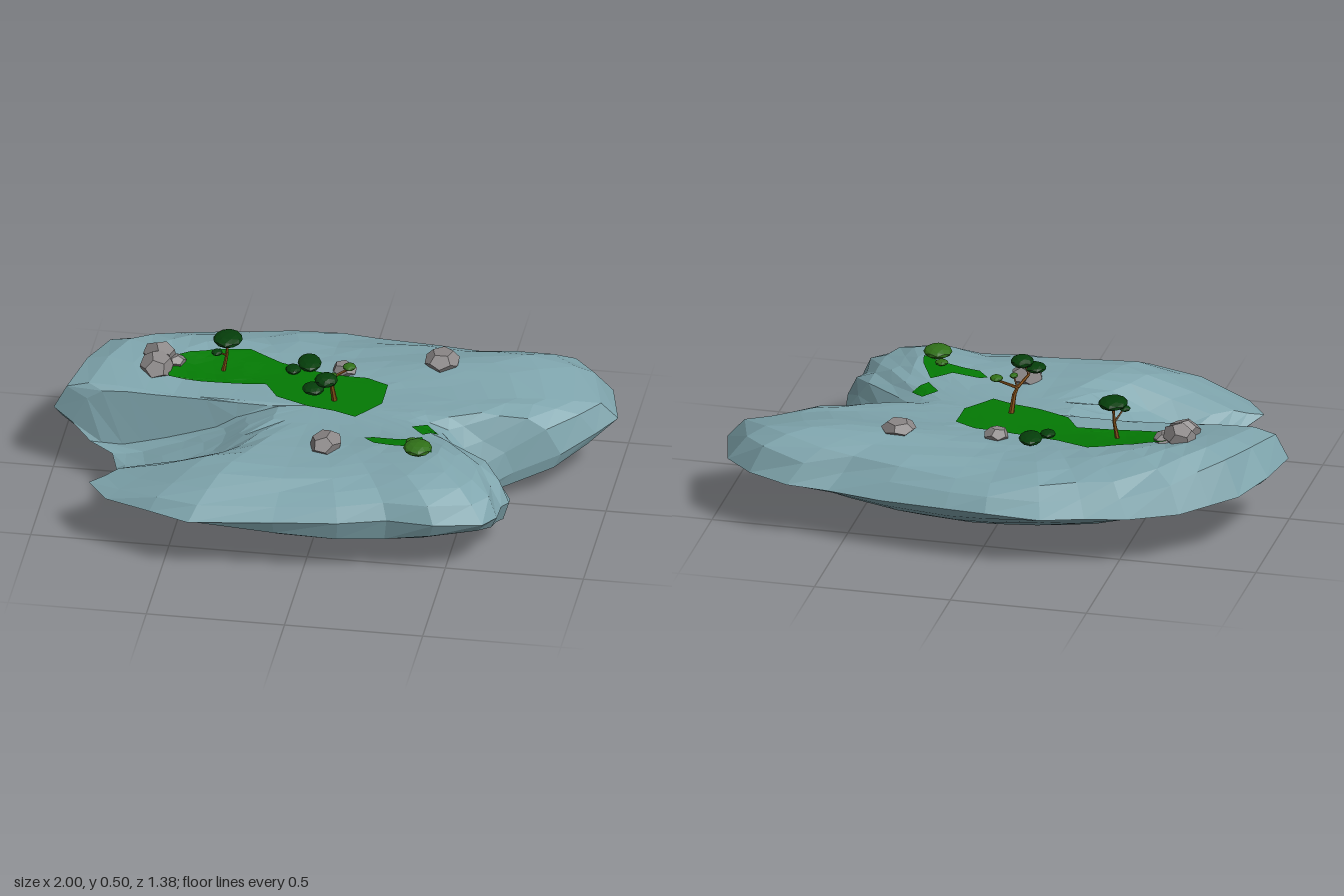
import * as THREE from 'three';

const flat = (name, color) => new THREE.MeshStandardMaterial({ name, color, flatShading: true });
const stone = flat('blueStone', 0x7fa5ad);
const grassGreen = flat('grassGreen', 0x047a04);
const darkLeaf = flat('darkLeaf', 0x053e0a);
const lightLeaf = flat('lightLeaf', 0x307018);
const bark = flat('bark', 0x845016);
const grey = flat('greyRock', 0x8b8787);
grassGreen.side = THREE.DoubleSide;

const step = (v, a, b) => THREE.MathUtils.smoothstep(v, a, b);
const lerp = THREE.MathUtils.lerp;
const noise = (i, j) => { const s = Math.sin(i * 12.99 + j * 78.23) * 43758.55; return s - Math.floor(s) - 0.5; };

// Widest edge of the island: x, height, z
const rim = [
  [-0.05, 0.21, -0.69], [0.1, 0.21, -0.68], [0.35, 0.2, -0.64], [0.55, 0.2, -0.6], [0.7, 0.21, -0.605],
  [0.85, 0.22, -0.55], [0.95, 0.23, -0.47], [1, 0.23, -0.27], [0.93, 0.2, -0.2], [0.82, 0.16, -0.1],
  [0.66, 0.11, -0.03], [0.58, 0.08, 0.02], [0.55, 0.07, 0.06], [0.62, 0.1, 0.13], [0.69, 0.15, 0.23],
  [0.7, 0.18, 0.31], [0.68, 0.19, 0.36], [0.68, 0.2, 0.46], [0.64, 0.21, 0.54], [0.47, 0.22, 0.59],
  [0.3, 0.22, 0.58], [0.13, 0.22, 0.63], [-0.1, 0.22, 0.66], [-0.4, 0.21, 0.69], [-0.55, 0.21, 0.63],
  [-0.72, 0.2, 0.55], [-0.8, 0.2, 0.44], [-0.72, 0.16, 0.33], [-0.74, 0.13, 0.2], [-0.77, 0.13, 0.1],
  [-0.86, 0.14, 0.04], [-0.93, 0.2, 0.015], [-1, 0.24, -0.01], [-0.97, 0.24, -0.2], [-0.9, 0.22, -0.35],
  [-0.81, 0.21, -0.43], [-0.72, 0.2, -0.51], [-0.55, 0.2, -0.6], [-0.4, 0.2, -0.63], [-0.25, 0.2, -0.68],
];
const CX = -0.05, CZ = -0.02;

// Plateau with raised back and front, a valley on the right and a gully on the left
function plateau(x, z) {
  const dip = 1 - 0.9 * Math.exp(-Math.pow((x + 0.02) / 0.32, 2));
  let h = 0.325 + 0.042 * dip * step(Math.abs(z + 0.03), 0.12, 0.35);
  h += 0.06 * step(-x, 0.45, 0.88) * step(-z, -0.03, 0.06) * (1 - 0.6 * step(-z, 0.22, 0.4));
  h -= 0.12 * step(-x, 0.25, 0.8) * step(z, 0.1, 0.4);
  const cliff = z + 0.02 + 0.057 * (x + 0.05);
  const valley = step(-x, 0.17, 0.42) * step(cliff, -0.008, 0.008) * (1 - step(z, 0.24, 0.42));
  h = lerp(h, 0.24 - 0.11 * step(-x, 0.25, 0.8), valley);
  h -= 0.14 * step(x, 0.42, 0.62) * Math.exp(-Math.pow((z - 0.05) / 0.08, 2));
  return h - 0.03 * step(x, 0.6, 0.95);
}

// Smooth bowl of the underside
const bowl = (x, z) => 0.005 + 0.2 * Math.pow(Math.hypot(x - 0.04, z / 0.7), 2.6);

// Concentric rings over the top, round the rim, and back in underneath
function makeIsland() {
  const rings = [0.2, 0.34, 0.46, 0.56, 0.66, 0.76, 0.86, 0.94, 1].map(t => [t, true])
    .concat([0.97, 0.88, 0.7, 0.5, 0.25].map(t => [t, false]));
  const n = rim.length, pos = [CX, plateau(CX, CZ), CZ], index = [];
  rings.forEach(([t, top], r) => rim.forEach(([rx, ry, rz], i) => {
    const wob = t < 1 ? noise(i, r) : 0;
    const k = t < 0.95 ? t + wob * 0.035 : t;
    const x = CX + (rx - CX) * k, z = CZ + (rz - CZ) * k;
    const round = 6 + (rz < 0.05 ? 14 * step(Math.abs(rx), 0.6, 0.95) : 0);
    const y = top
      ? lerp(ry, plateau(x, z), Math.pow(1 - Math.pow(t, round), 0.8)) + wob * 0.018 * t * t
      : Math.min(bowl(x, z) + wob * 0.006, ry - 0.008);
    pos.push(x, y, z);
  }));
  const last = pos.length / 3;
  pos.push(CX, 0, CZ - 0.08);
  for (let i = 0; i < n; i++) {
    const j = (i + 1) % n;
    const base = 1 + (rings.length - 1) * n;
    index.push(0, 1 + j, 1 + i, base + i, base + j, last);
  }
  stitch(index, n, rings.length);
  return finish(pos, index, stone, 'island');
}

// Quads between neighbouring rings of n points
function stitch(index, n, rings) {
  for (let r = 0; r < rings - 1; r++) for (let i = 0; i < n; i++) {
    const a = 1 + r * n + i, b = 1 + r * n + (i + 1) % n;
    index.push(a, b, b + n, a, b + n, a + n);
  }
}

function finish(pos, index, material, name) {
  const g = new THREE.BufferGeometry();
  g.setAttribute('position', new THREE.Float32BufferAttribute(pos, 3));
  g.setIndex(index);
  const geo = g.toNonIndexed();
  geo.computeVertexNormals();
  const mesh = new THREE.Mesh(geo, material);
  mesh.name = name;
  return mesh;
}

export function createModel() {
  const model = new THREE.Group();
  model.name = 'floatingIsland';
  const island = makeIsland();
  island.updateMatrixWorld(true);
  model.add(island);

  // Height of the ground, found by casting a ray down
  const ray = new THREE.Raycaster();
  const down = new THREE.Vector3(0, -1, 0);
  const ground = (x, z) => {
    ray.set(new THREE.Vector3(x, 1, z), down);
    const hit = ray.intersectObject(island)[0];
    return hit ? hit.point.y : 0.33;
  };

  // Grass patches draped over the ground, each outline edge halved for a closer fit
  function grass(cx, cz, corners, rings) {
    const outline = corners.flatMap(([x, z], i) => {
      const [nx, nz] = corners[(i + 1) % corners.length];
      return [[x, z], [(x + nx) / 2, (z + nz) / 2]];
    });
    const pos = [cx, ground(cx, cz) + 0.008, cz], index = [], n = outline.length;
    for (let r = 1; r <= rings; r++) outline.forEach(([px, pz]) => {
      const x = lerp(cx, px, r / rings), z = lerp(cz, pz, r / rings);
      pos.push(x, ground(x, z) + 0.008, z);
    });
    for (let i = 0; i < n; i++) index.push(0, 1 + (i + 1) % n, 1 + i);
    stitch(index, n, rings);
    model.add(finish(pos, index, grassGreen, 'grassPatch'));
  }
  grass(-0.2, -0.18, [[-0.63, -0.22], [-0.55, -0.27], [-0.45, -0.31], [-0.34, -0.34], [-0.22, -0.28], [-0.1, -0.25],
    [0, -0.235], [0.1, -0.23], [0.18, -0.19], [0.18, -0.06], [0.1, 0.05], [0.02, 0.02], [-0.08, 0],
    [-0.2, -0.05], [-0.25, -0.13], [-0.35, -0.12], [-0.48, -0.11], [-0.6, -0.11]], 12);
  grass(0.36, 0.09, [[0.36, 0.04], [0.41, 0.09], [0.36, 0.14], [0.31, 0.08]], 4);
  grass(0.34, 0.23, [[0.16, 0.21], [0.19, 0.2], [0.29, 0.21], [0.36, 0.165], [0.41, 0.26], [0.42, 0.31], [0.32, 0.27], [0.2, 0.25]], 6);

  // Boulders: x, z, radius, squash
  [[0.35, -0.35, 0.064, 0.6], [0.01, -0.275, 0.045, 0.7], [0.03, 0.27, 0.068, 0.6],
    [-0.65, -0.215, 0.06, 0.85], [-0.65, -0.145, 0.06, 0.85], [-0.59, -0.205, 0.038, 0.8]].forEach(([x, z, r, s], i) => {
    const rock = new THREE.Mesh(new THREE.DodecahedronGeometry(r), grey);
    rock.name = 'boulder';
    rock.geometry.scale(1, 0.85, 1.1).rotateX(i * 1.3 + 0.4).rotateZ(i * 0.7).scale(1, s, 1);
    rock.position.set(x, ground(x, z) + r * s * 0.3, z);
    model.add(rock);
  });

  // Tree parts
  function branch(group, a, b, r0, r1) {
    const p = new THREE.Vector3(...a), d = new THREE.Vector3(...b).sub(p);
    const m = new THREE.Mesh(new THREE.CylinderGeometry(r1, r0, d.length(), 6), bark);
    m.name = 'branch';
    m.position.copy(p).addScaledVector(d, 0.5);
    m.quaternion.setFromUnitVectors(new THREE.Vector3(0, 1, 0), d.normalize());
    group.add(m);
  }
  function leaves(group, [x, y, z], [sx, sy, sz], material, turn = 0) {
    const m = new THREE.Mesh(new THREE.IcosahedronGeometry(1, 1), material);
    m.name = 'foliage';
    m.scale.set(sx, sy, sz);
    m.rotation.y = turn;
    m.position.set(x, y, z);
    group.add(m);
  }
  function plant(name) {
    const g = new THREE.Group();
    g.name = name;
    model.add(g);
    return g;
  }

  // Flat-topped tree on the right
  const small = plant('flatTopTree');
  branch(small, [-0.42, ground(-0.42, -0.2) - 0.01, -0.2], [-0.405, 0.4, -0.2], 0.009, 0.006);
  branch(small, [-0.405, 0.4, -0.2], [-0.4, 0.465, -0.195], 0.006, 0.004);
  branch(small, [-0.407, 0.4, -0.2], [-0.43, 0.435, -0.155], 0.004, 0.003);
  leaves(small, [-0.4, 0.471, -0.195], [0.053, 0.02, 0.062], darkLeaf);
  leaves(small, [-0.433, 0.435, -0.153], [0.02, 0.01, 0.022], darkLeaf);

  // Branching tree in the middle
  const tall = plant('branchingTree');
  branch(tall, [0.01, ground(0.01, -0.06) - 0.01, -0.06], [0, 0.4, -0.045], 0.011, 0.008);
  branch(tall, [0, 0.4, -0.045], [-0.01, 0.425, -0.04], 0.008, 0.006);
  branch(tall, [-0.01, 0.425, -0.04], [0.06, 0.46, -0.07], 0.006, 0.004);
  branch(tall, [-0.01, 0.425, -0.04], [-0.03, 0.44, 0.05], 0.006, 0.005);
  branch(tall, [-0.03, 0.44, 0.05], [-0.01, 0.475, 0.07], 0.005, 0.003);
  branch(tall, [-0.01, 0.425, -0.04], [0.01, 0.455, -0.012], 0.004, 0.003);
  leaves(tall, [-0.002, 0.483, 0.065], [0.042, 0.022, 0.044], darkLeaf);
  leaves(tall, [-0.045, 0.455, 0.085], [0.04, 0.016, 0.044], darkLeaf, 0.4);
  leaves(tall, [0.06, 0.467, -0.07], [0.024, 0.011, 0.026], lightLeaf);
  leaves(tall, [0.01, 0.458, -0.012], [0.015, 0.008, 0.02], lightLeaf);

  // Low bushes: x, z, sizes, height above ground, leaf colour
  [[-0.12, -0.29, 0.043, 0.016, 0.062, 0.016, darkLeaf], [-0.17, -0.235, 0.028, 0.012, 0.035, 0.015, darkLeaf],
    [0.37, 0.315, 0.052, 0.022, 0.056, 0.028, lightLeaf], [0.34, 0.25, 0.024, 0.01, 0.024, 0.02, lightLeaf]]
    .forEach(([x, z, sx, sy, sz, up, leaf]) => {
      const bush = plant('lowBush'), y = ground(x, z);
      branch(bush, [x + 0.01, y - 0.01, z], [x, y + up, z], 0.007, 0.005);
      leaves(bush, [x, y + up, z], [sx, sy, sz], leaf, 0.2);
    });

  return model;
}
